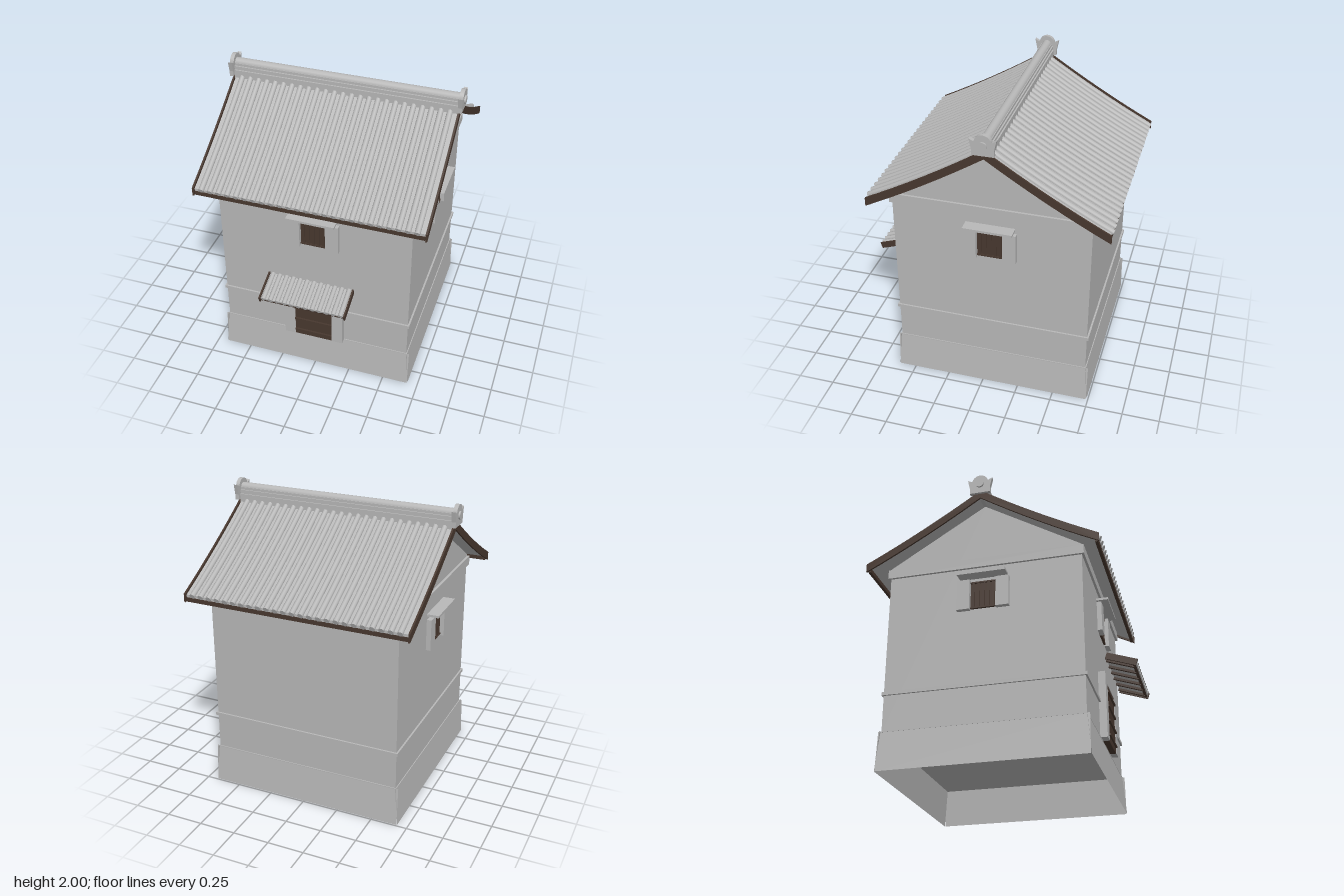
import * as THREE from 'three';

const plaster = new THREE.MeshStandardMaterial({ color: 0xb8b8b8, side: THREE.DoubleSide });
plaster.name = 'grey plaster and tile';
const wood = new THREE.MeshStandardMaterial({ color: 0x48382f });
wood.name = 'dark brown wood';

function add(parent, name, geometry, material, x = 0, y = 0, z = 0) {
  const mesh = new THREE.Mesh(geometry, material);
  mesh.name = name;
  mesh.position.set(x, y, z);
  parent.add(mesh);
  return mesh;
}

// Box given by its extents on each axis
function block(parent, name, material, [x0, x1], [y0, y1], [z0, z1]) {
  return add(parent, name, new THREE.BoxGeometry(x1 - x0, y1 - y0, z1 - z0), material,
    (x0 + x1) / 2, (y0 + y1) / 2, (z0 + z1) / 2);
}

function group(parent, name, x = 0, y = 0, z = 0) {
  const g = new THREE.Group();
  g.name = name;
  g.position.set(x, y, z);
  parent.add(g);
  return g;
}

// Outline drawn in (z, y), extruded along x and centred on x = 0
function profile(shape, width) {
  const g = new THREE.ExtrudeGeometry(shape, { depth: width, bevelEnabled: false, curveSegments: 16 });
  return g.translate(0, 0, -width / 2).rotateY(-Math.PI / 2);
}
const outline = (pts) => new THREE.Shape(pts.map(([z, y]) => new THREE.Vector2(z, y)));

// Gently sagging roof line, t measured outward from the ridge
const roofY = (t) => 1.89 - 0.66 * t + 0.1 * t * t;
const STEPS = 8;
function roofBand(top, bottom, end) {
  const upper = [], lower = [];
  for (let i = 0; i <= STEPS; i++) {
    const t = (end * i) / STEPS;
    upper.push([t, roofY(t) + top]);
    lower.unshift([t, roofY(t) + bottom]);
  }
  return outline([...upper, ...lower]);
}

function roofSlope(parent, name, turn) {
  const slope = group(parent, name);
  slope.rotation.y = turn;
  add(slope, 'roofDeck', profile(roofBand(-0.012, -0.042, 0.78), 1.52), plaster);
  for (const s of [-1, 1]) {
    add(slope, 'bargeBoard', profile(roofBand(0, -0.058, 0.79), 0.012), wood, s * 0.769);
  }
  block(slope, 'eaveBoard', wood, [-0.76, 0.76], [1.376, 1.406], [0.762, 0.782]);

  // Round cover tiles running from ridge to eave
  const path = [];
  for (let i = 0; i <= STEPS; i++) {
    const t = 0.02 + (0.77 * i) / STEPS;
    path.push(new THREE.Vector3(0, roofY(t) - 0.01, t));
  }
  const tile = new THREE.TubeGeometry(new THREE.CatmullRomCurve3(path), STEPS, 0.019, 10);
  const cap = new THREE.CircleGeometry(0.019, 10);
  const end = path[STEPS];
  for (let i = 0; i < 25; i++) {
    const x = (i - 12) * 0.0593;
    add(slope, 'coverTile', tile, plaster, x);
    add(slope, 'tileCap', cap, plaster, x, end.y, end.z).rotation.x = 0.4;
  }
}

function ridge(parent) {
  const g = group(parent, 'ridge');
  const layers = [[1.84, 1.9, 0.05], [1.9, 1.912, 0.04], [1.912, 1.928, 0.046], [1.928, 1.945, 0.036]];
  for (const [y0, y1, w] of layers) block(g, 'ridgeCourse', plaster, [-0.765, 0.765], [y0, y1], [-w, w]);
  const cap = new THREE.CylinderGeometry(0.032, 0.032, 1.53, 16).rotateZ(Math.PI / 2);
  add(g, 'ridgeCap', cap, plaster, 0, 1.939);

  // Horned end ornaments with a round boss
  const shape = outline([[-0.07, 1.862], [0.07, 1.862], [0.07, 1.9], [0.085, 1.97], [0.056, 1.955]]);
  shape.absarc(0, 1.945, 0.055, 0.18, Math.PI - 0.18, false);
  shape.lineTo(-0.085, 1.97);
  shape.lineTo(-0.07, 1.9);
  const ornament = profile(shape, 0.027);
  const boss = new THREE.CylinderGeometry(0.027, 0.027, 0.014, 20).rotateZ(Math.PI / 2);
  for (const s of [-1, 1]) {
    add(g, 'ridgeEnd', ornament, plaster, s * 0.778);
    add(g, 'ridgeEndBoss', boss, plaster, s * 0.796, 1.93);
  }
}

// Barred window with open shutters and a small hood, facing +z from the wall
function windowUnit(parent, turn) {
  const pivot = group(parent, 'window');
  pivot.rotation.y = turn;
  const w = group(pivot, 'windowParts', 0, 0, 0.656);
  block(w, 'windowBack', wood, [-0.088, 0.088], [1.055, 1.25], [0, 0.004]);
  for (let i = 0; i < 5; i++) {
    const x = (i - 2) * 0.034;
    block(w, 'windowBar', wood, [x - 0.009, x + 0.009], [1.055, 1.25], [0, 0.011]);
  }
  for (const y of [1.055, 1.24]) block(w, 'windowRail', wood, [-0.088, 0.088], [y, y + 0.01], [0, 0.014]);
  for (const s of [-1, 1]) {
    block(w, 'shutter', plaster, [s * 0.132 - 0.044, s * 0.132 + 0.044], [1.045, 1.26], [0.005, 0.037]);
  }
  block(w, 'windowHood', plaster, [-0.163, 0.163], [1.278, 1.294], [-0.01, 0.082]);
}

function door(parent) {
  const d = group(parent, 'door', 0, 0, 0.655);
  for (const s of [-1, 1]) {
    block(d, 'doorPost', plaster, [s * 0.17 - 0.038, s * 0.17 + 0.038], [0.265, 0.725], [-0.01, 0.05]);
  }
  block(d, 'doorLintel', plaster, [-0.132, 0.132], [0.66, 0.725], [-0.01, 0.05]);
  block(d, 'doorPanel', wood, [-0.132, 0.132], [0.265, 0.66], [-0.01, 0.046]);
  for (const y of [0.31, 0.41, 0.51, 0.61]) {
    block(d, 'doorBatten', wood, [-0.132, 0.132], [y - 0.006, y + 0.006], [0.04, 0.058]);
  }
}

function canopy(parent) {
  const c = group(parent, 'doorCanopy', 0, 0.813, 0.735);
  c.rotation.x = 0.335;
  block(c, 'canopyDeck', plaster, [-0.287, 0.287], [-0.03, -0.014], [0, 0.2]);
  const tile = new THREE.CylinderGeometry(0.016, 0.016, 0.205, 10).rotateX(Math.PI / 2);
  for (let i = 0; i < 12; i++) add(c, 'canopyTile', tile, plaster, (i - 5.5) * 0.0485, -0.013, 0.1025);
  for (const s of [-1, 1]) {
    block(c, 'canopyBarge', wood, [s * 0.293 - 0.005, s * 0.293 + 0.005], [-0.045, 0], [0, 0.21]);
  }
  block(c, 'canopyEave', wood, [-0.287, 0.287], [-0.04, -0.028], [0.185, 0.201]);
  for (let i = 0; i < 6; i++) {
    const x = (i - 2.5) * 0.1;
    block(c, 'canopyRafter', wood, [x - 0.008, x + 0.008], [-0.046, -0.03], [0, 0.195]);
  }
}

export function createModel() {
  const root = new THREE.Group();
  root.name = 'storehouse';
  const house = group(root, 'house', 0, 0, -0.06);

  // Battered footing of four thin panels, open underneath
  const height = 0.265;
  const lean = 0.02;
  const panel = new THREE.PlaneGeometry(1.352, Math.hypot(height, lean));
  for (let i = 0; i < 4; i++) {
    const side = group(house, 'footing');
    side.rotation.y = (i * Math.PI) / 2;
    add(side, 'footingPanel', panel, plaster, 0, height / 2, 0.67).rotation.x = -Math.atan(lean / height);
  }
  block(house, 'floor', plaster, [-0.662, 0.662], [0.259, 0.265], [-0.662, 0.662]);

  // Walls with gables, belt course and cornice
  const wall = outline([[-0.656, 0.26], [0.656, 0.26], [0.656, 1.44], [0, 1.837], [-0.656, 1.44]]);
  add(house, 'walls', profile(wall, 1.312), plaster);
  block(house, 'beltCourse', plaster, [-0.668, 0.668], [0.508, 0.53], [-0.668, 0.668]);
  block(house, 'cornice', plaster, [-0.672, 0.672], [1.36, 1.425], [-0.672, 0.672]);

  for (const turn of [0, Math.PI / 2, -Math.PI / 2]) windowUnit(house, turn);
  door(house);
  canopy(house);

  roofSlope(house, 'frontRoof', 0);
  roofSlope(house, 'backRoof', Math.PI);
  ridge(house);
  return root;
}
